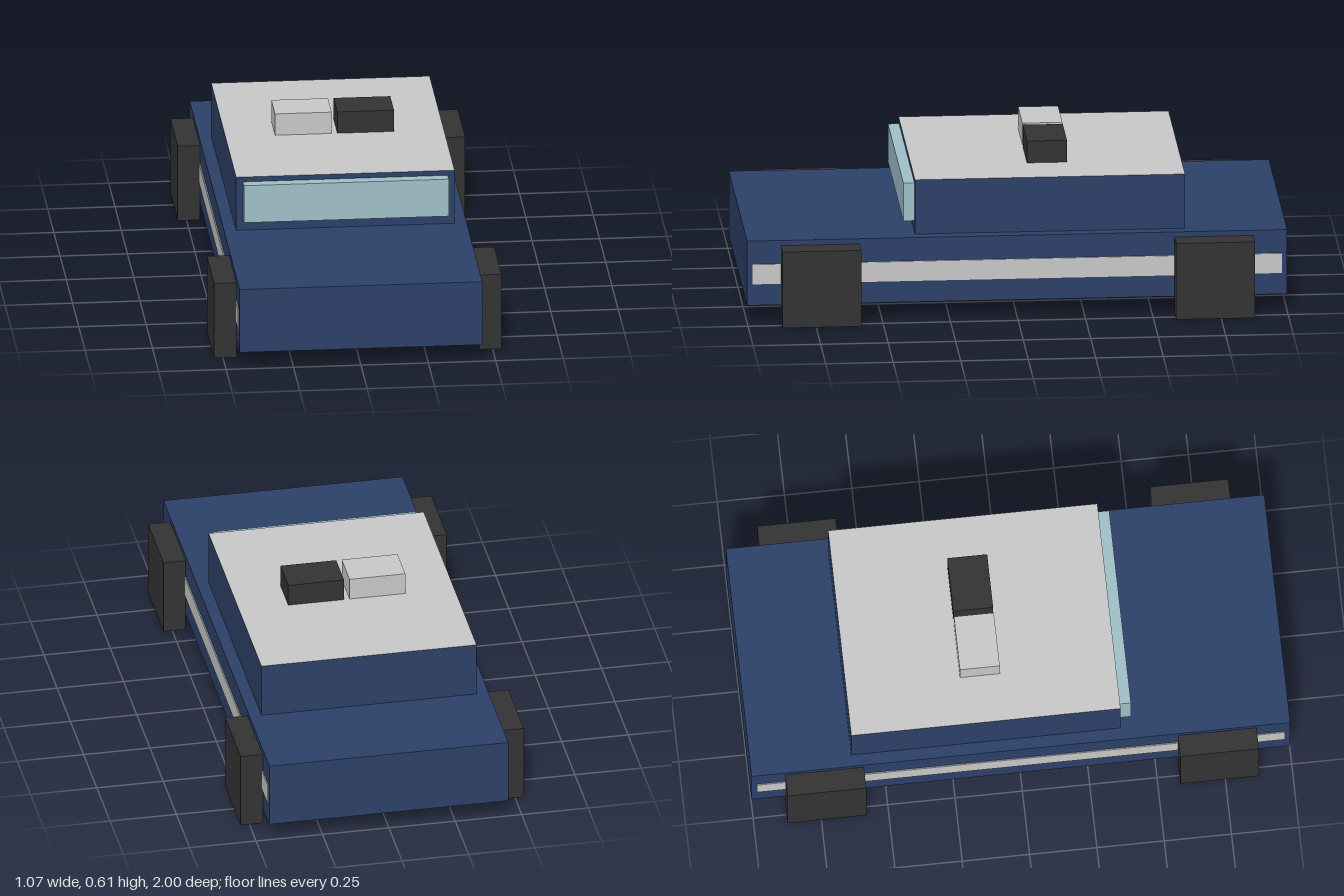
import * as THREE from 'three';

export function createModel() {
  const car = new THREE.Group();
  car.name = 'car';

  const material = (name, color) => {
    const m = new THREE.MeshStandardMaterial({ color });
    m.name = name;
    return m;
  };
  const navy = material('navy paint', 0x2c4068);
  const grey = material('light grey', 0xc8c8c8);
  const dark = material('charcoal', 0x333333);
  const glass = material('pale blue glass', 0x9fbfc8);

  // Box given by its lower and upper limits on each axis
  const block = (name, mat, [x0, x1], [y0, y1], [z0, z1]) => {
    const mesh = new THREE.Mesh(new THREE.BoxGeometry(x1 - x0, y1 - y0, z1 - z0), mat);
    mesh.position.set((x0 + x1) / 2, (y0 + y1) / 2, (z0 + z1) / 2);
    mesh.name = name;
    car.add(mesh);
    return mesh;
  };

  // Body and cabin; the cabin's top face is the grey roof
  block('body', navy, [-0.45, 0.45], [0.065, 0.313], [-1, 1]);
  block('cabin', [navy, navy, grey, navy, navy, navy],
    [-0.405, 0.405], [0.313, 0.522], [-0.625, 0.375]);
  block('windshield', glass, [-0.38, 0.38], [0.357, 0.503], [0.375, 0.416]);

  // Roof light bar in two halves
  block('rightRoofLight', grey, [-0.221, -0.011], [0.522, 0.606], [-0.202, -0.054]);
  block('leftRoofLight', dark, [0.01, 0.22], [0.522, 0.606], [-0.202, -0.054]);

  // Side stripes and square wheels, mirrored left and right
  for (const [side, s] of [['left', 1], ['right', -1]]) {
    const span = (a, b) => (s > 0 ? [a, b] : [-b, -a]);
    block(`${side}Stripe`, grey, span(0.449, 0.454), [0.147, 0.223], [-0.98, 0.98]);
    block(`${side}FrontWheel`, dark, span(0.45, 0.533), [0, 0.293], [0.583, 0.875]);
    block(`${side}RearWheel`, dark, span(0.45, 0.533), [0, 0.293], [-0.875, -0.583]);
  }

  return car;
}
